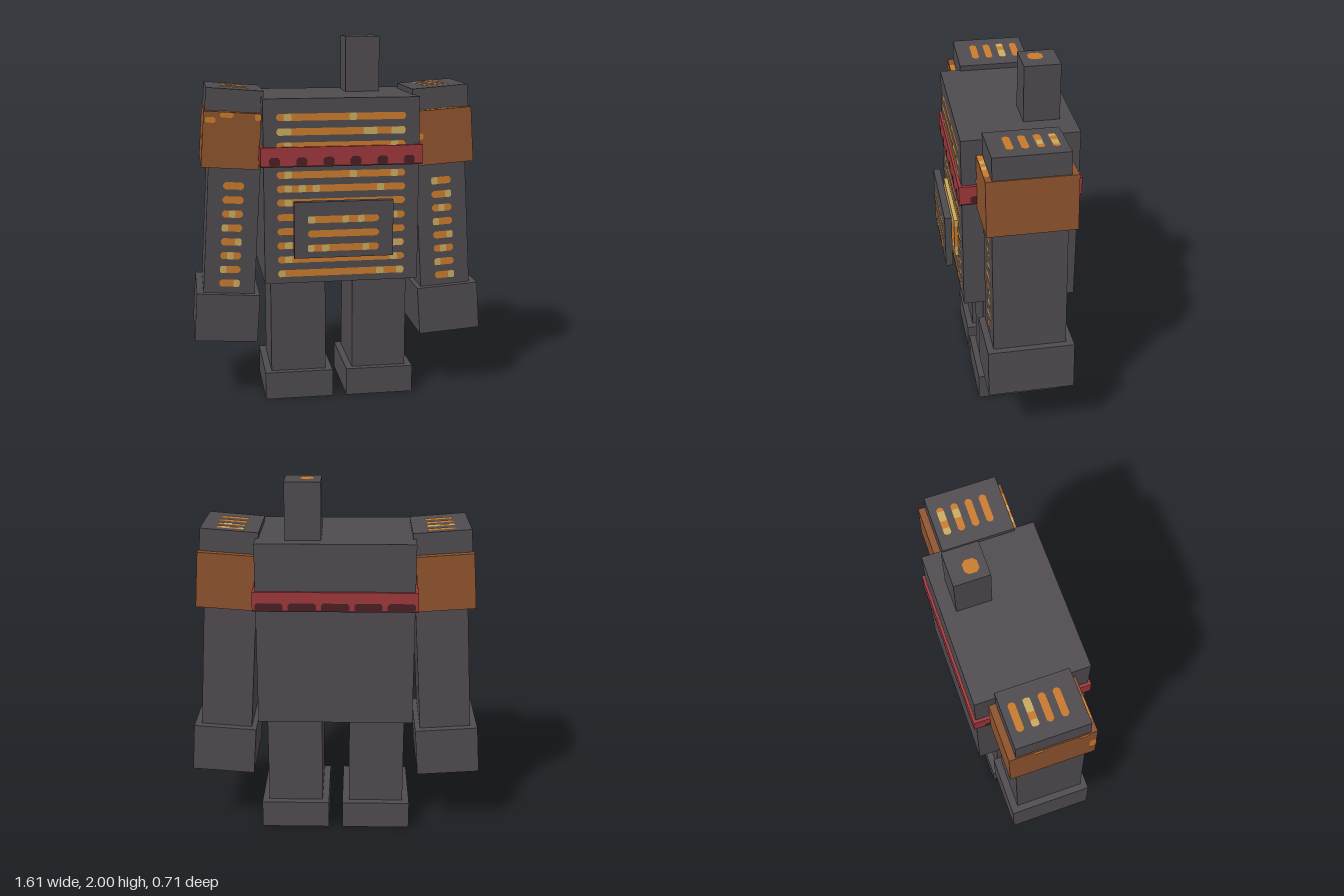
import * as THREE from 'three';

const mat = (name, color) => {
  const m = new THREE.MeshStandardMaterial({ color });
  m.name = name;
  return m;
};

export function createModel() {
  const iron = mat('darkIron', 0x4f4b4f);
  const copper = mat('copperBrown', 0x8e532d);
  const red = mat('bandRed', 0x9e383c);
  const maroon = mat('darkMaroon', 0x4a1f23);
  const ember = mat('emberOrange', 0xc97a2c);
  const glow = mat('paleGlow', 0xc8ab62);

  const root = new THREE.Group();
  root.name = 'furnaceRobot';

  // Box given by its min and max corners
  const box = (parent, name, m, x0, x1, y0, y1, z0, z1) => {
    const mesh = new THREE.Mesh(new THREE.BoxGeometry(x1 - x0, y1 - y0, z1 - z0), m);
    mesh.position.set((x0 + x1) / 2, (y0 + y1) / 2, (z0 + z1) / 2);
    mesh.name = name;
    parent.add(mesh);
    return mesh;
  };

  // Flat bar with clipped corners, centred on its origin and facing +z
  const bar = (parent, name, m, w, h, x, y, z, c = 0.012) => {
    const a = w / 2, b = h / 2;
    const pts = [[-a + c, -b], [a - c, -b], [a, -b + c], [a, b - c], [a - c, b], [-a + c, b], [-a, b - c], [-a, -b + c]];
    const shape = new THREE.Shape(pts.map(p => new THREE.Vector2(...p)));
    const mesh = new THREE.Mesh(new THREE.ShapeGeometry(shape), m);
    mesh.position.set(x, y, z);
    mesh.name = name;
    parent.add(mesh);
    return mesh;
  };

  // Orange slot with pale patches, each patch given as [x0, x1]
  const slot = (parent, name, x0, x1, y, z, patches = [], h = 0.038) => {
    bar(parent, name, ember, x1 - x0, h, (x0 + x1) / 2, y, z + 0.002);
    for (const [a, b] of patches)
      bar(parent, name + 'Glow', glow, b - a, h, (a + b) / 2, y, z + 0.004, 0.006);
  };

  // Torso and chimney
  box(root, 'torso', iron, -0.42, 0.42, 0.695, 1.695, -0.335, 0.275);
  box(root, 'chimney', iron, 0.075, 0.265, 1.69, 2, -0.26, -0.07);
  const vent = bar(root, 'chimneyEmber', ember, 0.076, 0.076, 0.15, 2.002, -0.148, 0.018);
  vent.rotation.x = -Math.PI / 2;

  // Chest grille
  const rows = [
    [1.597, [[-0.31, -0.27], [0.04, 0.08]]],
    [1.52, [[-0.345, -0.27], [0.115, 0.19], [0.265, 0.34]]],
    [1.445, [[-0.31, -0.27], [0.265, 0.305]]],
    [1.29, [[-0.31, -0.27], [0.04, 0.08], [0.265, 0.305]]],
    [1.215, [[-0.31, -0.27], [-0.235, -0.195], [-0.16, -0.12], [0.19, 0.23]]],
    [1.14, [[-0.31, -0.27]]],
    [1.06, [[0.265, 0.305]]],
    [0.983, []],
    [0.905, [[-0.31, -0.27], [0.265, 0.335]]],
    [0.827, [[-0.31, -0.27], [0.265, 0.305]]],
    [0.75, [[-0.345, -0.31], [0.19, 0.23], [0.30, 0.34]]],
  ];
  for (const [y, patches] of rows) slot(root, 'chestSlot', -0.35, 0.345, y, 0.275, patches);

  // Furnace door standing off the chest, with glowing core behind
  box(root, 'furnaceCoreLower', glow, -0.23, 0.23, 0.885, 0.94, 0.27, 0.296);
  box(root, 'furnaceCoreMiddle', ember, -0.23, 0.23, 0.94, 1.075, 0.27, 0.296);
  box(root, 'furnaceCoreUpper', glow, -0.23, 0.23, 1.075, 1.112, 0.27, 0.296);
  box(root, 'furnaceDoor', iron, -0.267, 0.267, 0.85, 1.155, 0.312, 0.35);
  slot(root, 'doorSlot', -0.195, 0.188, 1.06, 0.35, [[-0.195, -0.155], [-0.01, 0.025], [0.075, 0.11]]);
  slot(root, 'doorSlot', -0.195, 0.188, 0.983, 0.35, []);
  slot(root, 'doorSlot', -0.195, 0.188, 0.905, 0.35, [[-0.195, -0.16], [-0.12, -0.08], [0.1, 0.135]]);

  // Chest band with a dark underside
  box(root, 'chestBand', red, -0.436, 0.436, 1.342, 1.44, -0.35, 0.29);
  box(root, 'bandUnderside', maroon, -0.436, 0.436, 1.334, 1.342, -0.35, 0.29);

  // Dark scallops on all four sides of the band
  const scallops = (name, width, count, height, fill, x, z, turn) => {
    const g = new THREE.Group();
    g.name = name;
    const step = width / count;
    for (let i = 0; i < count; i++)
      bar(g, 'scallop', maroon, step * fill, height, -width / 2 + step * (i + 0.5), 1.336 + height / 2, 0, 0.012);
    g.position.set(x, 0, z);
    g.rotation.y = turn;
    root.add(g);
  };
  scallops('frontScallops', 0.87, 6, 0.05, 0.4, 0, 0.292, 0);
  scallops('backScallops', 0.87, 5, 0.045, 0.85, 0, -0.352, Math.PI);
  for (const s of [-1, 1]) scallops('sideScallops', 0.6, 4, 0.048, 0.5, s * 0.438, -0.03, s * Math.PI / 2);

  // Legs and feet
  for (const s of [-1, 1]) {
    const x = s * 0.2285;
    box(root, 'leg', iron, x - 0.1525, x + 0.1525, 0.15, 0.7, -0.22, 0.165);
    box(root, 'foot', iron, x - 0.19, x + 0.19, 0, 0.155, -0.26, 0.2);
  }

  // Arms: every segment leans outwards at the bottom
  const segment = (s, name, m, x, y, w, h, z0, z1, lean = 0.07) => {
    const g = new THREE.Group();
    g.name = name + 'Group';
    g.position.set(s * x, y, 0);
    g.rotation.z = s * lean;
    box(g, name, m, -w / 2, w / 2, -h / 2, h / 2, z0, z1);
    root.add(g);
    return g;
  };
  for (const s of [-1, 1]) {
    const cap = segment(s, 'shoulderCap', iron, 0.562, 1.66, 0.307, 0.155, -0.225, 0.165, 0.08);
    const shoulder = segment(s, 'shoulderArmour', copper, 0.582, 1.469, 0.306, 0.3, -0.262, 0.198);
    const arm = segment(s, 'lowerArm', iron, 0.588, 0.975, 0.28, 0.74, -0.22, 0.165, 0.062);
    segment(s, 'hand', iron, 0.624, 0.488, 0.345, 0.267, -0.26, 0.2);

    // Slots on top of the shoulder caps
    const top = new THREE.Group();
    top.name = 'capSlots';
    top.rotation.x = -Math.PI / 2;
    top.position.y = 0.0775;
    cap.add(top);
    const capGlow = s > 0
      ? [[[-0.075, -0.04], [0, 0.055]], [[-0.005, 0.045]], [], []]
      : [[], [[-0.075, -0.04], [0, 0.075]], [], []];
    capGlow.forEach((p, i) => slot(top, 'capSlot', -0.078, 0.078, 0.168 - i * 0.077, 0, p));

    // Slots down the front of the arm
    for (let i = 0; i < 8; i++) {
      const a = [-0.055, 0.02, -0.02][i % 3];
      const patches = s < 0 && i < 2 ? [] : [[a, a + 0.035]];
      slot(arm, 'armSlot', -0.056, 0.056, 0.245 - i * 0.0775, 0.165, patches, 0.04);
    }

    // Ember flecks on the shoulder armour
    const flecks = s < 0
      ? [[-0.115, 0.105, 0.055, 0.03], [-0.03, 0.135, 0.07, 0.028], [0.135, 0.13, 0.032, 0.035]]
      : [[-0.135, 0.01, 0.03, 0.035]];
    for (const [x, y, w, h] of flecks) bar(shoulder, 'fleck', ember, w, h, x, y, 0.2, 0.008);
    const ledge = new THREE.Group();
    ledge.name = 'ledgeFlecks';
    ledge.rotation.x = -Math.PI / 2;
    ledge.position.y = 0.15;
    shoulder.add(ledge);
    if (s < 0) bar(ledge, 'fleck', ember, 0.12, 0.03, -0.02, -0.182, 0.002, 0.006);
    else slot(ledge, 'fleck', -0.15, 0.1, -0.182, 0, [[-0.08, -0.045], [-0.01, 0.025]], 0.03);
    if (s < 0) {
      const side = new THREE.Group();
      side.name = 'sideFlecks';
      side.rotation.y = -Math.PI / 2;
      side.position.x = -0.155;
      shoulder.add(side);
      for (const [z, y, w, h] of [[0.18, -0.01, 0.036, 0.1], [0.13, 0.137, 0.06, 0.025], [-0.11, 0.133, 0.055, 0.032]])
        bar(side, 'fleck', ember, w, h, z, y, 0, 0.01);
    }
  }
  return root;
}
